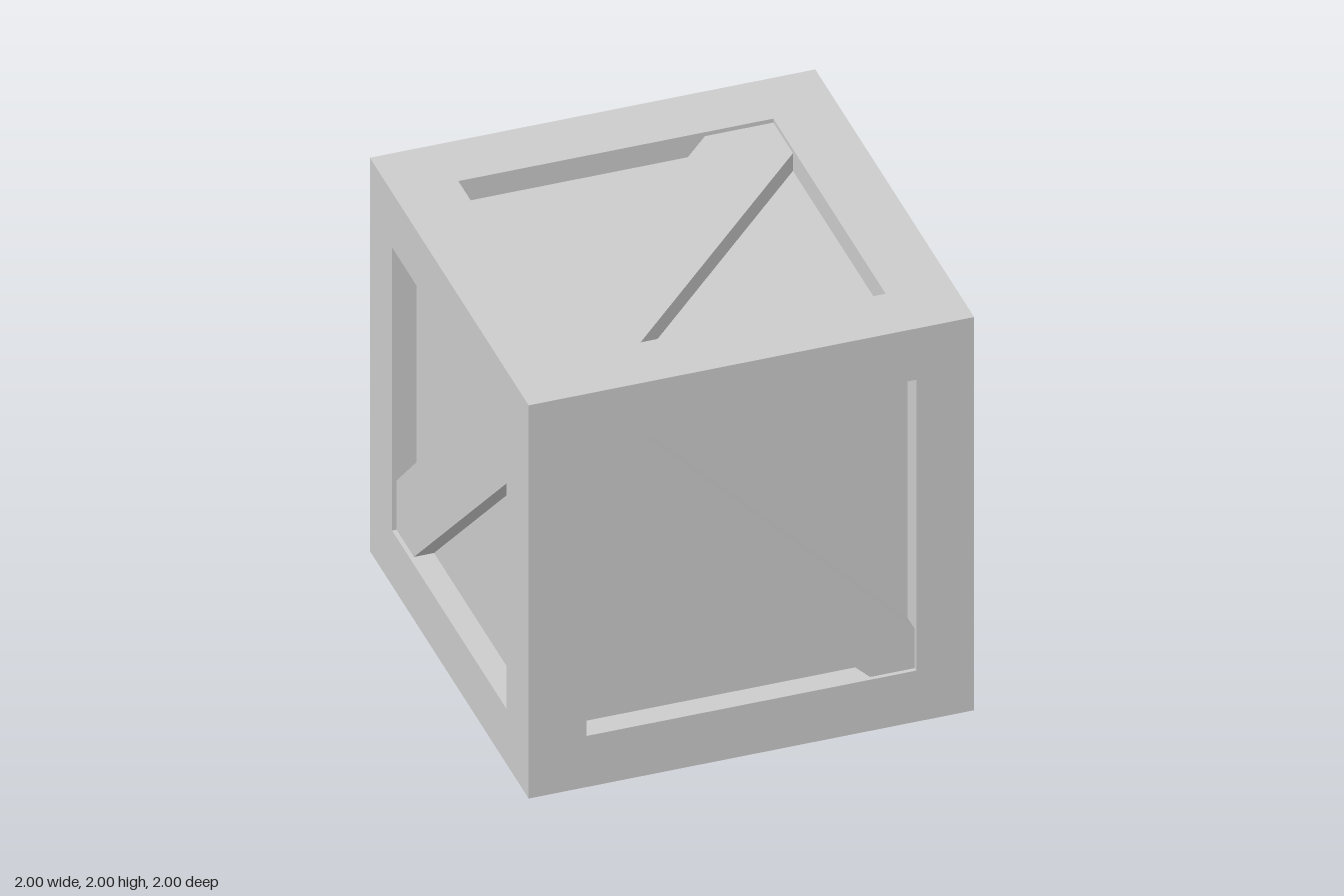
import * as THREE from 'three';

const RECESS = 0.11;      // depth of the panels behind the frame
const BRACE_HEIGHT = 0.09; // the braces stop just short of the frame's face

const toVectors = (points) => points.map(([x, y]) => new THREE.Vector2(x, y));
const square = (h) => toVectors([[-h, -h], [h, -h], [h, h], [-h, h]]);

// Square border whose outer back edges are pulled in, so that neighbours meet in a mitre
function frameGeometry(opening) {
  const shape = new THREE.Shape(square(1));
  shape.holes.push(new THREE.Path(square(opening).reverse()));
  const geometry = new THREE.ExtrudeGeometry(shape, { depth: RECESS, bevelEnabled: false });
  const pos = geometry.attributes.position;
  for (let i = 0; i < pos.count; i++) {
    if (pos.getZ(i) > RECESS / 2) continue;
    for (const axis of [0, 1]) {
      const v = pos.getComponent(i, axis);
      if (Math.abs(v) > 0.95) pos.setComponent(i, axis, v * (1 - RECESS));
    }
  }
  geometry.computeVertexNormals();
  return geometry;
}

function braceGeometry(outline) {
  return new THREE.ExtrudeGeometry(new THREE.Shape(toVectors(outline)),
    { depth: BRACE_HEIGHT, bevelEnabled: false });
}

export function createModel() {
  const crate = new THREE.Group();
  crate.name = 'crate';
  const material = new THREE.MeshStandardMaterial({ color: 0xcccccc, flatShading: true });

  const addMesh = (parent, name, geometry) => {
    const mesh = new THREE.Mesh(geometry, material);
    mesh.name = name;
    parent.add(mesh);
    return mesh;
  };

  // Inner box, whose faces are the recessed panels
  const core = 2 * (1 - RECESS);
  addMesh(crate, 'panels', new THREE.BoxGeometry(core, core, core)).position.y = 1;

  // Opposite sides share an opening size and a diagonal brace
  const pairs = [
    {
      opening: 0.74,
      brace: [[-0.74, 0.74], [-0.74, 0.48], [0.54, -0.74], [0.74, -0.74], [0.74, -0.54], [-0.5, 0.74]],
      sides: { front: [0, 0], back: [0, Math.PI] },
    },
    {
      opening: 0.72,
      brace: [[-0.72, -0.72], [-0.5, -0.72], [0.72, 0.44], [0.72, 0.72], [0.47, 0.72], [-0.72, -0.47]],
      sides: { left: [0, Math.PI / 2], right: [0, -Math.PI / 2] },
    },
    {
      opening: 0.707,
      brace: [[-0.707, -0.707], [-0.41, -0.707], [0.707, 0.46], [0.707, 0.707], [0.4, 0.707], [-0.707, -0.44]],
      sides: { top: [-Math.PI / 2, 0], bottom: [Math.PI / 2, 0] },
    },
  ];

  for (const { opening, brace, sides } of pairs) {
    const frame = frameGeometry(opening);
    const bar = braceGeometry(brace);
    for (const [name, [rx, ry]] of Object.entries(sides)) {
      const side = new THREE.Group();
      side.name = `${name}Side`;
      side.rotation.set(rx, ry, 0);
      side.position.y = 1;
      addMesh(side, `${name}Frame`, frame).position.z = 1 - RECESS;
      addMesh(side, `${name}Brace`, bar).position.z = 1 - RECESS;
      crate.add(side);
    }
  }
  return crate;
}
